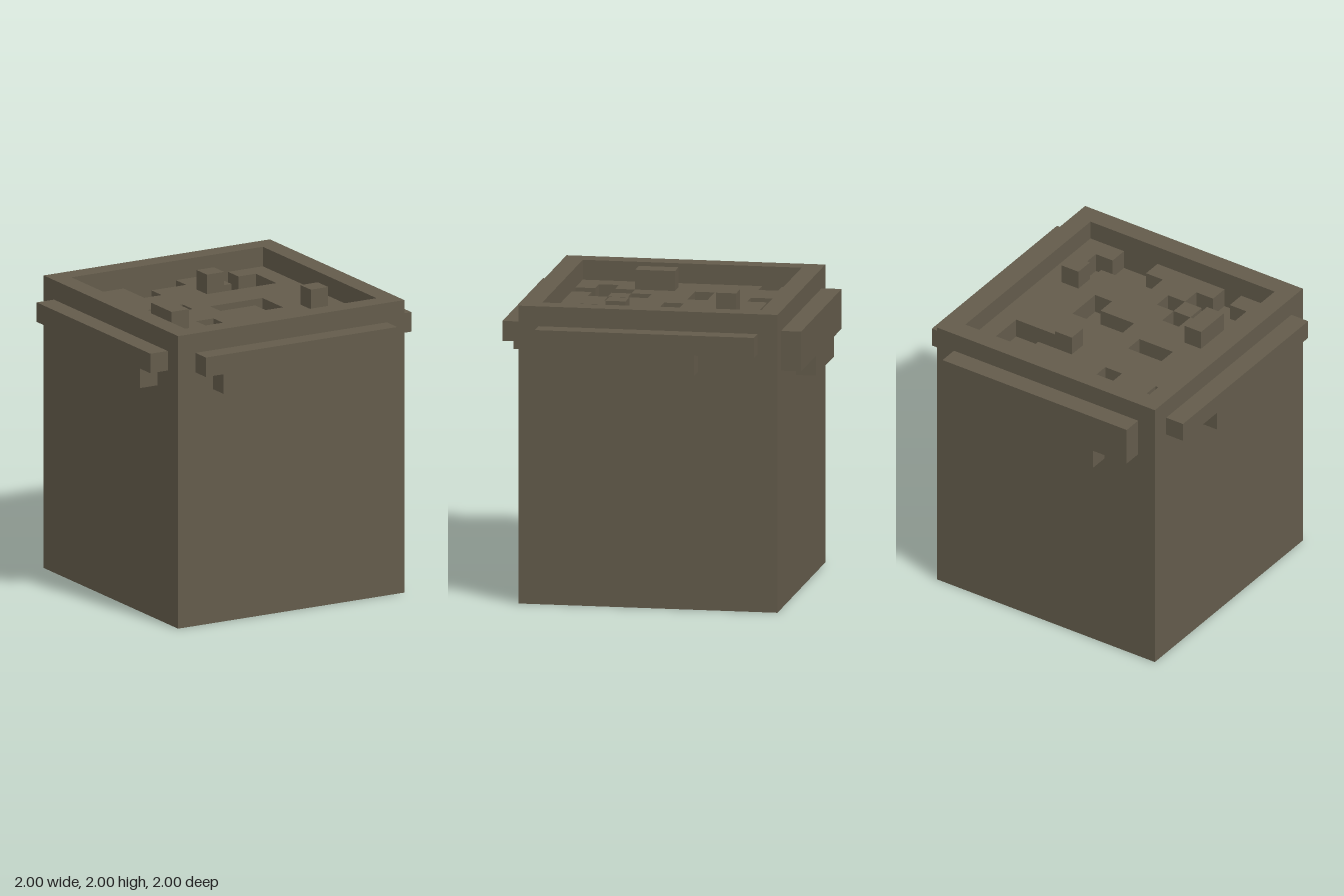
import * as THREE from 'three';

const U = 2 / 15; // one block unit

// Basin floor, rows from back to front; '#' marks a pit one unit deep
const FLOOR = [
  '...###..#..',
  '#..#....##.',
  '.......###.',
  '...........',
  '..##.......',
  '.....###...',
  '.......#...',
  '...#.......',
  '..#.#....#.',
  '.###..####.',
  '..#....##..',
];

// Height in units of a cell in the 13 x 13 plan (outer ring is the rim)
function heightAt(i, j) {
  if (i < 0 || j < 0 || i > 12 || j > 12) return 0;
  if (i === 0 || j === 0 || i === 12 || j === 12) return 15;
  return FLOOR[j - 1][i - 1] === '#' ? 13 : 14;
}

// Solid block with rim, basin floor and pits
function bodyGeometry() {
  const pos = [];
  const quad = (a, b, c, d) => {
    for (const p of [a, b, c, a, c, d]) pos.push((p[0] - 6.5) * U, p[1] * U, (p[2] - 6.5) * U);
  };
  for (let i = 0; i < 13; i++) {
    for (let j = 0; j < 13; j++) {
      const h = heightAt(i, j);
      quad([i, h, j + 1], [i + 1, h, j + 1], [i + 1, h, j], [i, h, j]);
      // each side: next cell, then the edge from left to right seen from outside
      const sides = [
        [i, j + 1, i, j + 1, i + 1, j + 1],
        [i + 1, j, i + 1, j + 1, i + 1, j],
        [i, j - 1, i + 1, j, i, j],
        [i - 1, j, i, j, i, j + 1],
      ];
      for (const [ni, nj, ax, az, bx, bz] of sides) {
        const low = heightAt(ni, nj);
        if (low < h) quad([ax, low, az], [bx, low, bz], [bx, h, bz], [ax, h, az]);
      }
    }
  }
  quad([0, 0, 0], [13, 0, 0], [13, 0, 13], [0, 0, 13]);
  const g = new THREE.BufferGeometry();
  g.setAttribute('position', new THREE.Float32BufferAttribute(pos, 3));
  g.computeVertexNormals();
  return g;
}

// Ledge below the rim: full-width band with a lower step between from and to
function ledgeGeometry(from, to, band) {
  const top = 14, mid = top - band, low = mid - 1;
  const points = [[0, top], [0, mid], [from, mid], [from, low], [to, low], [to, mid], [11, mid], [11, top]];
  const shape = new THREE.Shape(points.map(([x, y]) => new THREE.Vector2((x - 5.5) * U, y * U)));
  const g = new THREE.ExtrudeGeometry(shape, { depth: U, bevelEnabled: false });
  return g.translate(0, 0, 6.5 * U);
}

export function createModel() {
  const group = new THREE.Group();
  const stone = new THREE.MeshStandardMaterial({ color: 0x635b4b });
  stone.name = 'brownStone';
  const add = (name, geometry) => {
    const mesh = new THREE.Mesh(geometry, stone);
    mesh.name = name;
    group.add(mesh);
    return mesh;
  };

  add('body', bodyGeometry());

  // Stepped ledges on the four sides
  const ledges = [
    ['frontLedge', 1, 8, 1, 0],
    ['leftLedge', 2, 8, 1, Math.PI / 2],
    ['backLedge', 4, 9, 2, Math.PI],
    ['rightLedge', 3, 10, 1, -Math.PI / 2],
  ];
  for (const [name, from, to, band, turn] of ledges) {
    add(name, ledgeGeometry(from, to, band)).rotation.y = turn;
  }

  // Raised lumps on the basin floor: column, row, length along z
  for (const [i, j, len] of [[1, 6, 2], [6, 2, 1], [9, 7, 1]]) {
    add('raisedLump', new THREE.BoxGeometry(U, U, len * U))
      .position.set((i - 5) * U, 14.5 * U, (j + len / 2 - 5.5) * U);
  }
  return group;
}
